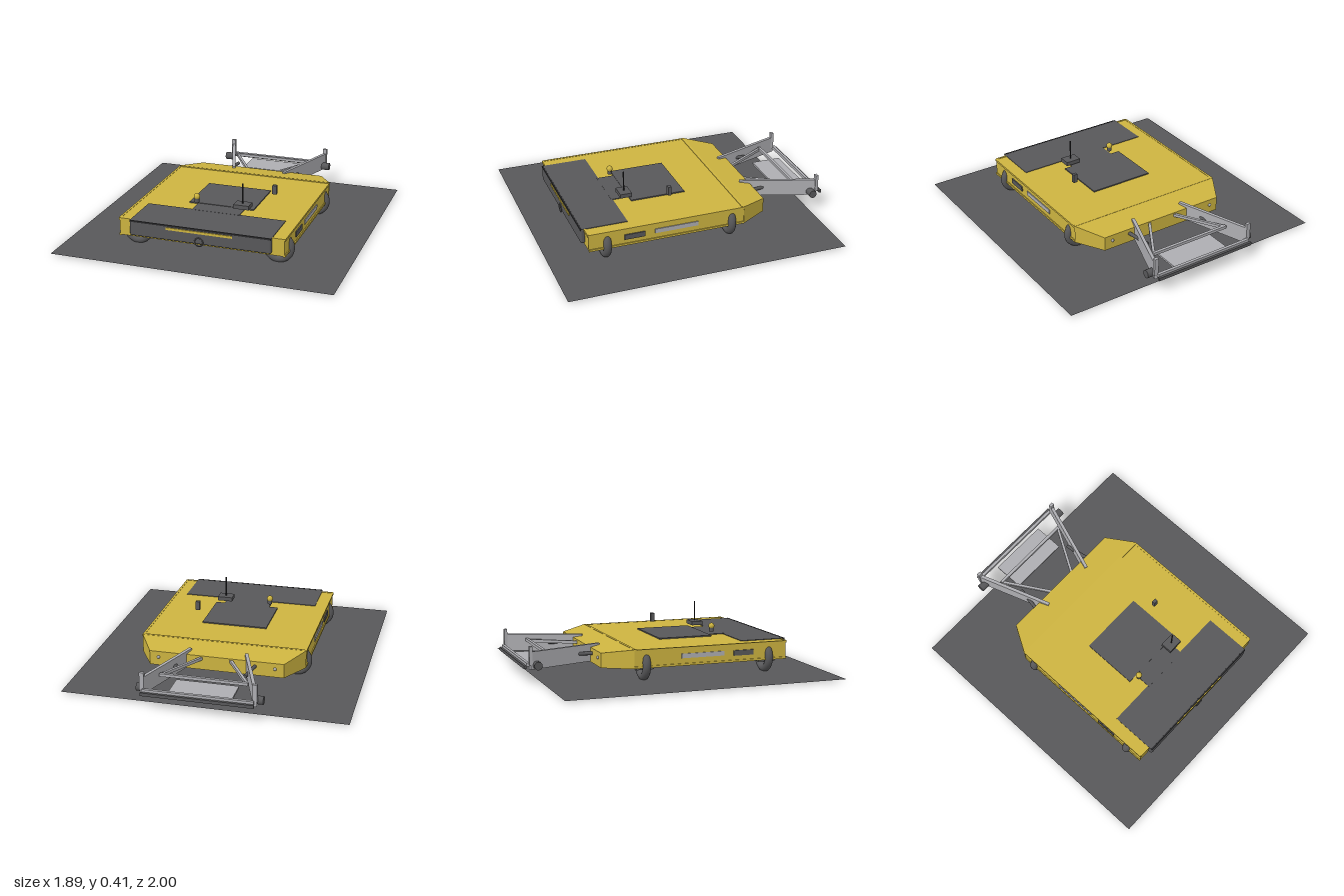
import * as THREE from 'three';
import { RoundedBoxGeometry } from 'three/addons/geometries/RoundedBoxGeometry.js';

export function createModel() {
  const model = new THREE.Group();
  const material = (name, color, side = THREE.FrontSide) => {
    const m = new THREE.MeshStandardMaterial({ color, side });
    m.name = name;
    return m;
  };
  const yellow = material('yellow paint', 0xcdb440);
  const dark = material('dark grey', 0x58585a, THREE.DoubleSide);
  const light = material('light grey metal', 0xaeaeb2);
  const black = material('black', 0x2c2c2e);

  const add = (name, geometry, mat, x = 0, y = 0, z = 0) => {
    const mesh = new THREE.Mesh(geometry, mat);
    mesh.name = name;
    mesh.position.set(x, y, z);
    model.add(mesh);
    return mesh;
  };
  // Box given by its lower and upper limits
  const box = (name, mat, x0, x1, y0, y1, z0, z1) =>
    add(name, new THREE.BoxGeometry(x1 - x0, y1 - y0, z1 - z0), mat,
      (x0 + x1) / 2, (y0 + y1) / 2, (z0 + z1) / 2);
  // Straight bar between two points; height and width of its section
  const bar = (name, mat, a, b, width, height) => {
    const p = new THREE.Vector3(...a), q = new THREE.Vector3(...b);
    const mesh = add(name, new THREE.BoxGeometry(width, height, p.distanceTo(q)), mat);
    mesh.position.copy(p).lerp(q, 0.5);
    mesh.lookAt(q);
    return mesh;
  };
  const rod = (name, mat, a, b, radius) => {
    const p = new THREE.Vector3(...a), q = new THREE.Vector3(...b);
    const mesh = add(name, new THREE.CylinderGeometry(radius, radius, p.distanceTo(q), 16), mat);
    mesh.position.copy(p).lerp(q, 0.5);
    mesh.quaternion.setFromUnitVectors(new THREE.Vector3(0, 1, 0), q.sub(p).normalize());
    return mesh;
  };

  // Ground sheet
  const ground = add('groundSheet', new THREE.PlaneGeometry(1.89, 1.89), dark, 0, 0.008, 0.055);
  ground.rotation.x = -Math.PI / 2;

  // Main hull
  box('hull', yellow, -0.56, 0.56, 0.098, 0.214, -0.325, 0.75);
  box('frontRail', yellow, -0.56, 0.56, 0.2, 0.217, 0.742, 0.756);
  box('rearRail', yellow, -0.56, 0.56, 0.2, 0.218, -0.328, -0.31);

  // Rear hood, narrowed and lowered toward the back
  const hood = new THREE.BoxGeometry(1.13, 0.125, 0.19).toNonIndexed();
  const p = hood.attributes.position;
  for (let i = 0; i < p.count; i++) {
    if (p.getZ(i) < 0) {
      p.setX(i, Math.sign(p.getX(i)) * 0.455);
      if (p.getY(i) > 0) p.setY(i, 0.035);
    }
  }
  hood.computeVertexNormals();
  add('rearHood', hood, yellow, 0, 0.1545, -0.42);

  // Dark deck plates and belly plate
  box('frontDeckPlate', dark, -0.48, 0.48, 0.214, 0.218, 0.46, 0.77);
  box('deckBridgePlate', dark, -0.165, 0.165, 0.214, 0.219, 0.34, 0.47);
  box('centreDeckPlate', dark, -0.228, 0.225, 0.214, 0.222, -0.02 - 0.01, 0.35);
  box('bellyPlate', dark, -0.235, 0.235, 0.09, 0.098, -0.02, 0.46);

  // Front bumper with stripe and ring
  add('frontBumper', new RoundedBoxGeometry(0.96, 0.104, 0.034, 3, 0.012), dark, 0, 0.165, 0.762);
  box('bumperTopEdge', black, -0.478, 0.478, 0.208, 0.219, 0.771, 0.78);
  box('bumperStripe', yellow, -0.225, 0.225, 0.187, 0.203, 0.777, 0.785);
  add('bumperRing', new THREE.TorusGeometry(0.028, 0.004, 8, 28), dark, 0, 0.13, 0.781);

  for (const s of [-1, 1]) {
    const span = (a, b) => (s > 0 ? [a, b] : [-b, -a]);

    // Hull edge rails and side panels
    for (const y of [0.1, 0.209]) {
      box('sideRail', yellow, ...span(0.552, 0.567), y - 0.007, y + 0.007, -0.325, 0.75);
    }
    box('sideVent', dark, ...span(0.56, 0.568), 0.136, 0.171, 0.37, 0.51);
    box('sideStripe', light, ...span(0.56, 0.566), 0.142, 0.172, 0, 0.3);

    // Wheels and their mounts
    for (const z of [0.625, -0.24]) {
      add('wheel', new THREE.TorusGeometry(0.079, 0.027, 16, 40), dark, s * 0.485, 0.106, z);
      box('wheelMount', dark, ...span(0.385, 0.53), 0.076, 0.098, z - 0.06, z + 0.06);
    }

    // Rear frame: side arms, braces, struts, uprights and end rollers
    bar('frameArm', light, [s * 0.19, 0.153, -0.45], [s * 0.367, 0.153, -0.96], 0.022, 0.115);
    bar('frameBrace', light, [s * 0.1, 0.17, -0.51], [s * 0.285, 0.17, -0.82], 0.018, 0.02);
    rod('hydraulicStrut', dark, [s * 0.262, 0.155, -0.51], [s * 0.234, 0.155, -0.68], 0.012);
    box('frameUpright', light, ...span(0.35, 0.38), 0.125, 0.245, -0.965, -0.945);
    rod('endRoller', dark, [s * 0.355, 0.122, -0.915], [s * 0.412, 0.122, -0.915], 0.027);
    add('rearLamp', new THREE.SphereGeometry(0.011, 14, 10), light, s * 0.395, 0.15, -0.515);
  }

  // Rear frame: cross members and tray
  box('crossBar', light, -0.29, 0.29, 0.165, 0.185, -0.83, -0.81);
  box('rearTray', light, -0.21, 0.205, 0.097, 0.11, -0.945, -0.735);
  box('rearBeam', light, -0.36, 0.36, 0.115, 0.138, -0.982, -0.962);
  box('rearBumperBar', dark, -0.366, 0.366, 0.1, 0.122, -1, -0.984);

  // Beacon, antenna unit and sensor above the deck
  add('beaconBase', new THREE.CylinderGeometry(0.016, 0.016, 0.028, 20), dark, -0.165, 0.251, 0.375);
  add('beacon', new THREE.SphereGeometry(0.021, 20, 14), yellow, -0.165, 0.276, 0.375);
  box('antennaBox', dark, 0.107, 0.213, 0.24, 0.268, 0.34, 0.42);
  rod('antenna', black, [0.16, 0.265, 0.38], [0.16, 0.407, 0.38], 0.0045);
  box('sensor', dark, 0.28, 0.31, 0.254, 0.316, 0.093, 0.117);

  return model;
}
